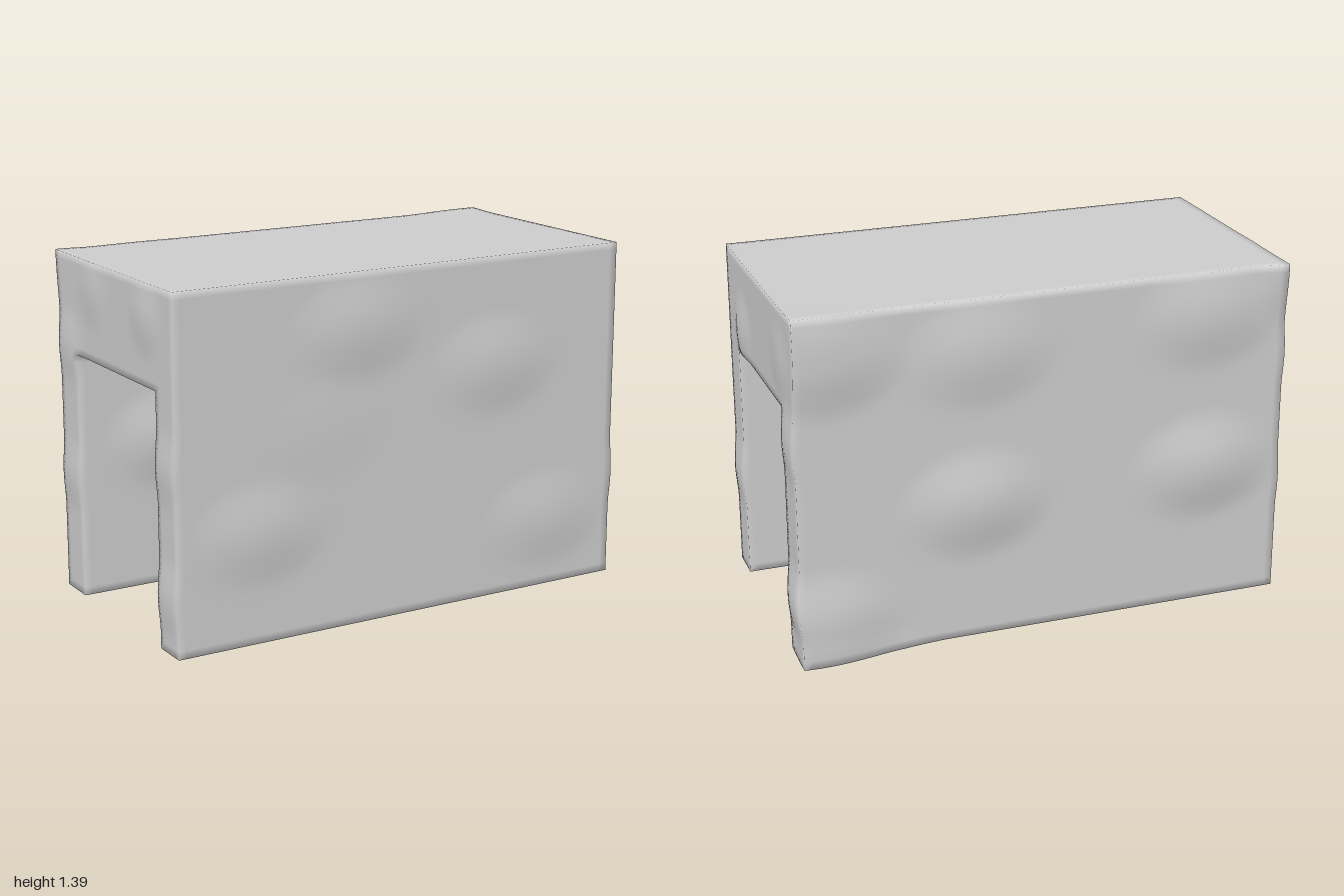
import * as THREE from 'three';
import { mergeGeometries, mergeVertices } from 'three/addons/utils/BufferGeometryUtils.js';

// Main planes of the cover
const X0 = -0.985, X1 = 0.975;
const Y0 = 0.02, YM = 1.0, Y1 = 1.385;
const ZB = -0.48, ZBI = -0.32, ZFI = 0.355, ZF = 0.5;
const STEP = 0.032;

// Soft dents: [centre, push, radii]
const bumps = [];
const addBump = (c, push, r) => bumps.push({ c, push, r });

// Front face
for (const [x, y, a] of [[-0.22, 1.17, 0.02], [0.4, 0.96, 0.02], [-0.64, 0.44, 0.02], [0.65, 0.3, 0.018], [-0.4, 0.8, 0.005]])
  addBump([x, y, ZF], [0, 0, a], [0.32, 0.22, 0.12]);
// Back face
for (const [x, y, a] of [[0.85, 1.21, 0.03], [0.26, 1.17, 0.025], [-0.66, 1.21, 0.027], [0.28, 0.57, 0.035], [-0.66, 0.59, 0.036], [0.87, 0.16, 0.03]])
  addBump([x, y, ZB], [0, 0, -a], [0.33, 0.24, 0.12]);
// Upper and lower back corners
addBump([X0, Y1, ZB], [0, 0, -0.02], [0.15, 0.25, 0.12]);
addBump([X1, Y1, ZB], [0, 0.004, -0.012], [0.4, 0.2, 0.12]);
addBump([0.92, Y0, ZB], [0, -0.02, -0.012], [0.55, 0.1, 0.25]);
// Inner faces of both walls
for (const x of [-0.6, 0.35]) {
  addBump([x, 0.61, ZFI], [0, 0, -0.026], [0.3, 0.28, 0.08]);
  addBump([x, 0.62, ZBI], [0, 0, 0.03], [0.3, 0.22, 0.08]);
}
// Right-hand end (+x)
for (const [y, z, a] of [[1.1, 0.27, 0.018], [1.17, -0.31, 0.01], [0.45, 0.43, 0.016], [0.88, -0.4, 0.016], [0.25, -0.41, 0.022]])
  addBump([X1, y, z], [a, 0, 0], [0.08, 0.17, 0.15]);
// Opposite end (-x)
for (const [y, z, a] of [[1.25, 0.28, 0.014], [1.27, -0.17, 0.01], [1.02, -0.4, 0.014], [0.72, 0.42, 0.013], [0.5, -0.4, 0.013], [0.23, 0.42, 0.014]])
  addBump([X0, y, z], [-a, 0, 0], [0.08, 0.16, 0.15]);

function deform(p) {
  const out = [...p];
  for (const { c, push, r } of bumps) {
    let d = 0;
    for (let i = 0; i < 3; i++) d += ((p[i] - c[i]) / r[i]) ** 2;
    if (d >= 1) continue;
    const w = (1 - d) ** 2;
    for (let i = 0; i < 3; i++) out[i] += push[i] * w;
  }
  return out;
}

// Subdivided rectangle from corner o along u and v, facing u x v
function patch(o, u, v) {
  const nu = Math.ceil(Math.hypot(...u) / STEP), nv = Math.ceil(Math.hypot(...v) / STEP);
  const pos = [], idx = [];
  for (let j = 0; j <= nv; j++)
    for (let i = 0; i <= nu; i++)
      pos.push(...deform(o.map((c, k) => c + (u[k] * i) / nu + (v[k] * j) / nv)));
  for (let j = 0; j < nv; j++)
    for (let i = 0; i < nu; i++) {
      const a = j * (nu + 1) + i, b = a + 1, c = a + nu + 1, d = c + 1;
      idx.push(a, b, d, a, d, c);
    }
  const g = new THREE.BufferGeometry();
  g.setAttribute('position', new THREE.Float32BufferAttribute(pos, 3));
  g.setIndex(idx);
  return g;
}

export function createModel() {
  const parts = [];

  // Long faces: the U outline swept along x
  const outline = [
    [Y0, ZF], [YM, ZF], [Y1, ZF], [Y1, ZFI], [Y1, ZBI], [Y1, ZB], [YM, ZB],
    [Y0, ZB], [Y0, ZBI], [YM, ZBI], [YM, ZFI], [Y0, ZFI],
  ];
  outline.forEach(([y, z], i) => {
    const [yn, zn] = outline[(i + 1) % outline.length];
    parts.push(patch([X0, y, z], [X1 - X0, 0, 0], [0, yn - y, zn - z]));
  });

  // End faces: two legs and the strip across the top
  const cells = [
    [Y0, YM, ZFI, ZF], [Y0, YM, ZB, ZBI],
    [YM, Y1, ZFI, ZF], [YM, Y1, ZBI, ZFI], [YM, Y1, ZB, ZBI],
  ];
  for (const [ya, yb, za, zb] of cells) {
    parts.push(patch([X1, ya, za], [0, yb - ya, 0], [0, 0, zb - za]));
    parts.push(patch([X0, ya, za], [0, 0, zb - za], [0, yb - ya, 0]));
  }

  // Welding gives the softly shaded edges
  const geometry = mergeVertices(mergeGeometries(parts), 1e-4);
  geometry.computeVertexNormals();

  const cover = new THREE.Mesh(geometry, new THREE.MeshStandardMaterial({ color: 0xcccccc }));
  cover.name = 'archedBlock';
  const group = new THREE.Group();
  group.name = 'dentedArch';
  group.add(cover);
  return group;
}
